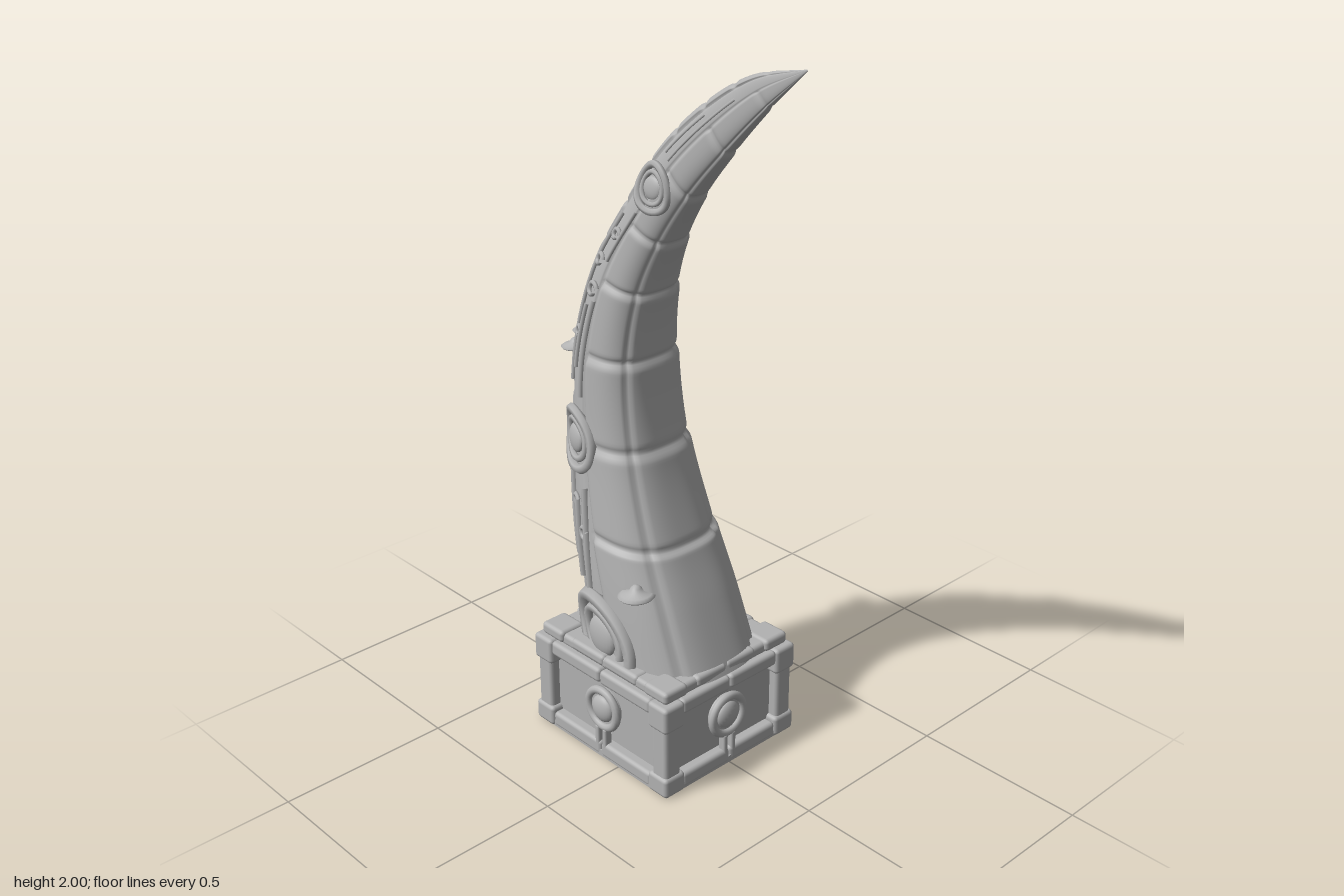
import * as THREE from 'three';
import { RoundedBoxGeometry } from 'three/addons/geometries/RoundedBoxGeometry.js';

const stone = new THREE.MeshStandardMaterial({ color: 0xb2b2b2 });
stone.name = 'grey stone';
const V = (x, y, z) => new THREE.Vector3(x, y, z);
const BASE_X = -0.073;
const RAD = Math.PI / 180;

// Outer and inner edge of the horn; the third value is the half width in z
const outer = new THREE.CatmullRomCurve3([
  V(-0.3, 0.29, 0.205), V(-0.332, 0.5, 0.195), V(-0.357, 0.66, 0.18), V(-0.372, 0.9, 0.152),
  V(-0.357, 1.15, 0.134), V(-0.288, 1.39, 0.11), V(-0.18, 1.57, 0.083), V(-0.05, 1.745, 0.058),
  V(0.09, 1.87, 0.037), V(0.24, 1.958, 0.018), V(0.415, 2.0, 0.001)]);
const inner = new THREE.CatmullRomCurve3([
  V(0.19, 0.29, 0), V(0.108, 0.47, 0), V(0.032, 0.63, 0), V(-0.062, 0.89, 0),
  V(-0.097, 1.14, 0), V(-0.076, 1.33, 0), V(-0.02, 1.48, 0), V(0.065, 1.62, 0),
  V(0.175, 1.755, 0), V(0.3, 1.89, 0), V(0.415, 1.998, 0)]);

// Point on the horn: t runs from base to tip, angle 0 is the inner curve, 180 the spine
function horn(t, deg) {
  t = Math.min(Math.max(t, 0), 1);
  const o = outer.getPoint(t), i = inner.getPoint(t), a = deg * RAD;
  const k = Math.cos(a) > 0 ? 1 + 0.1 * Math.sin(2 * a) ** 2 : 1;
  const c = Math.cos(a) * k / 2;
  return V((o.x + i.x) / 2 + (i.x - o.x) * c, (o.y + i.y) / 2 + (i.y - o.y) * c, o.z * Math.sin(a) * k);
}
function frame(t, deg) {
  const dt = horn(t + 0.003, deg).sub(horn(t - 0.003, deg)).divideScalar(t < 0.003 ? 0.003 + t : 0.006);
  const da = horn(t, deg + 1).sub(horn(t, deg - 1)).divideScalar(2);
  return { dt, da, n: dt.clone().cross(da).normalize() };
}
function raised(t, deg, h) {
  return horn(t, deg).addScaledVector(frame(t, deg).n, h);
}

// Carved seams and overlapping plates
const groove = (d, w) => Math.exp(-((d / w) ** 2));
function relief(t, deg) {
  const a = Math.abs(deg > 180 ? deg - 360 : deg);
  const size = Math.sqrt(outer.getPoint(t).z / 0.2);
  const nearest = (step, shift) => {
    const u = (t - shift) / step;
    return Math.abs(u - Math.round(u)) * step;
  };
  let h = 0;
  const spine = a > 138, band = a > 92 && !spine;
  if (spine) h -= 0.011 * groove(nearest(0.065, 0.02), 0.005);
  else if (band) h -= 0.008;
  else {
    if (t > 0.15) h -= 0.011 * groove(nearest(0.1, 0), 0.005);
    const u = t < 0.2 ? t / 0.2 : (t * 10) % 1;
    h += 0.007 * u - 0.002;
  }
  for (const edge of [38, 92, 138]) h -= 0.009 * groove(a - edge, 2.5);
  if (spine) h -= 0.006 * groove(a - 165, 3);
  return h * size * Math.min(1, (1 - t) * 8);
}
function hornGeometry(rows, cols) {
  const pos = [], idx = [];
  for (let r = 0; r <= rows; r++) for (let c = 0; c < cols; c++) {
    const t = 0.998 * r / rows, deg = 360 * c / cols;
    pos.push(...raised(t, deg, relief(t, deg)).toArray());
    if (r === rows) continue;
    const p = r * cols + c, q = r * cols + (c + 1) % cols;
    idx.push(p, p + cols, q, q, p + cols, q + cols);
  }
  const g = new THREE.BufferGeometry();
  g.setAttribute('position', new THREE.Float32BufferAttribute(pos, 3));
  g.setIndex(idx);
  g.computeVertexNormals();
  return g;
}

export function createModel() {
  const model = new THREE.Group();
  model.name = 'horn monument';
  const add = (name, geo, parent = model, x = 0, y = 0, z = 0) => {
    const m = new THREE.Mesh(geo, stone);
    m.name = name;
    m.position.set(x, y, z);
    parent.add(m);
    return m;
  };
  const block = (name, w, h, d, x, y, z, parent = model, r = 0.012) =>
    add(name, new RoundedBoxGeometry(w, h, d, 2, Math.min(r, w / 2.1, h / 2.1, d / 2.1)), parent, x, y, z);
  const tube = (name, pts, r, closed = false) =>
    add(name, new THREE.TubeGeometry(new THREE.CatmullRomCurve3(pts, closed), pts.length * 2, r, 6, closed));

  add('horn', hornGeometry(300, 120));

  // Ornaments on both flanks of the horn
  for (const s of [1, -1]) {
    // Curve around a spot, following the surface
    const arc = (t, deg, radius, from, to, h, grow = 0) => {
      const { dt, da } = frame(t, deg), pts = [];
      const n = Math.max(6, Math.round(Math.abs(to - from) / 20));
      for (let i = 0; i <= n; i++) {
        const w = (from + (to - from) * i / n) * RAD, r = radius * (1 + grow * i / n);
        pts.push(raised(t + r * Math.cos(w) / dt.length(), s * (deg + r * Math.sin(w) / da.length()), h));
      }
      return pts;
    };
    for (const [t, deg, r] of [[0.035, 99, 0.115], [0.3, 110, 0.08], [0.665, 96, 0.058]]) {
      tube('medallionRing', arc(t, deg, r, 0, 342, 0.002), r * 0.17, true);
      tube('medallionInnerRing', arc(t, deg, r * 0.68, 0, 342, 0), r * 0.12, true);
      const dome = add('medallionDome', new THREE.SphereGeometry(r * 0.52, 24, 12));
      dome.scale.z = 0.35;
      dome.position.copy(raised(t, s * deg, -0.004));
      dome.quaternion.setFromUnitVectors(V(0, 0, 1), frame(t, s * deg).n);
    }
    // Straight strips and hooks between the medallions
    for (const [t0, t1, a0, a1] of [[0.09, 0.25, 108, 98], [0.1, 0.23, 122, 114], [0.13, 0.26, 131, 128],
      [0.35, 0.47, 100, 98], [0.36, 0.6, 128, 126], [0.38, 0.46, 114, 112], [0.53, 0.62, 100, 98], [0.71, 0.86, 106, 108], [0.71, 0.8, 124, 124]]) {
      const pts = [];
      for (let i = 0; i <= 8; i++) pts.push(raised(t0 + (t1 - t0) * i / 8, s * (a0 + (a1 - a0) * i / 8), -0.004));
      tube('carvedStrip', pts, 0.01 * (1.1 - t0));
    }
    for (const [t, deg, r] of [[0.19, 105, 0.022], [0.225, 117, 0.022], [0.42, 120, 0.02], [0.48, 108, 0.024], [0.52, 118, 0.02], [0.57, 110, 0.018]])
      tube('carvedHook', arc(t, deg, r, -60, 260, -0.003, -0.6), 0.007);
  }

  // Small mushrooms growing on the horn
  const cap = [[0, -0.03], [0.011, -0.028], [0.014, -0.012], [0.05, -0.006], [0.055, 0], [0.045, 0.007],
    [0.022, 0.013], [0.016, 0.024], [0.008, 0.031], [0, 0.032]].map(p => new THREE.Vector2(...p));
  for (const [x, y, z, k] of [[0.005, 0.53, 0.172, 0.95], [-0.378, 1.143, 0, 0.75], [-0.378, 1.108, 0.045, 0.72]]) {
    const m = add('mushroom', new THREE.LatheGeometry(cap, 24), model, x, y, z);
    m.scale.setScalar(k);
    m.rotation.z = 0.06;
  }

  // Pedestal
  const base = new THREE.Group();
  base.name = 'pedestal';
  base.position.x = BASE_X;
  model.add(base);
  const W = 0.277, D = 0.252;
  add('core', new THREE.BoxGeometry(0.48, 0.29, 0.43), base, 0, 0.147, 0);
  add('footPlate', new THREE.BoxGeometry(0.54, 0.02, 0.49), base, 0, 0.011, 0);
  block('topSlab', 0.5, 0.035, 0.455, 0, 0.299, 0, base);
  for (const sx of [1, -1]) for (const sz of [1, -1]) {
    block('cornerPost', 0.058, 0.28, 0.058, sx * (W - 0.036), 0.142, sz * (D - 0.036), base);
    block('footBlock', 0.075, 0.062, 0.075, sx * (W - 0.0375), 0.031, sz * (D - 0.0375), base);
    block('headBlock', 0.075, 0.08, 0.075, sx * (W - 0.0375), 0.248, sz * (D - 0.0375), base);
    block('cornerStone', 0.09, 0.037, 0.085, sx * 0.215, 0.306, sz * 0.193, base);
  }
  // Four decorated sides; half is the width, dist the depth from the middle
  for (let i = 0; i < 4; i++) {
    const side = new THREE.Group();
    side.name = 'pedestalSide';
    side.rotation.y = i * Math.PI / 2;
    base.add(side);
    const half = i % 2 ? D : W, dist = i % 2 ? W : D;
    for (const s of [1, -1]) {
      block('lowerRail', half - 0.07, 0.046, 0.045, s * (half - 0.07) / 2, 0.025, dist - 0.028, side);
      block('upperRail', half - 0.07, 0.045, 0.045, s * (half - 0.07) / 2, 0.264, dist - 0.027, side);
      block('rimStone', half - 0.14, 0.034, 0.05, s * (half - 0.14) / 2, 0.304, dist - 0.046, side);
      block('stemBar', 0.016, 0.075, 0.025, s * 0.015, 0.06, dist - 0.018, side, 0.006);
    }
    add('plaqueBack', new THREE.CylinderGeometry(0.058, 0.058, 0.03, 32).rotateX(Math.PI / 2), side, 0, 0.155, dist - 0.032);
    add('plaqueRing', new THREE.TorusGeometry(0.058, 0.012, 10, 36), side, 0, 0.155, dist - 0.018);
    add('plaqueDome', new THREE.SphereGeometry(0.041, 24, 14).scale(1, 1, 0.5), side, 0, 0.155, dist - 0.02);
  }
  return model;
}
